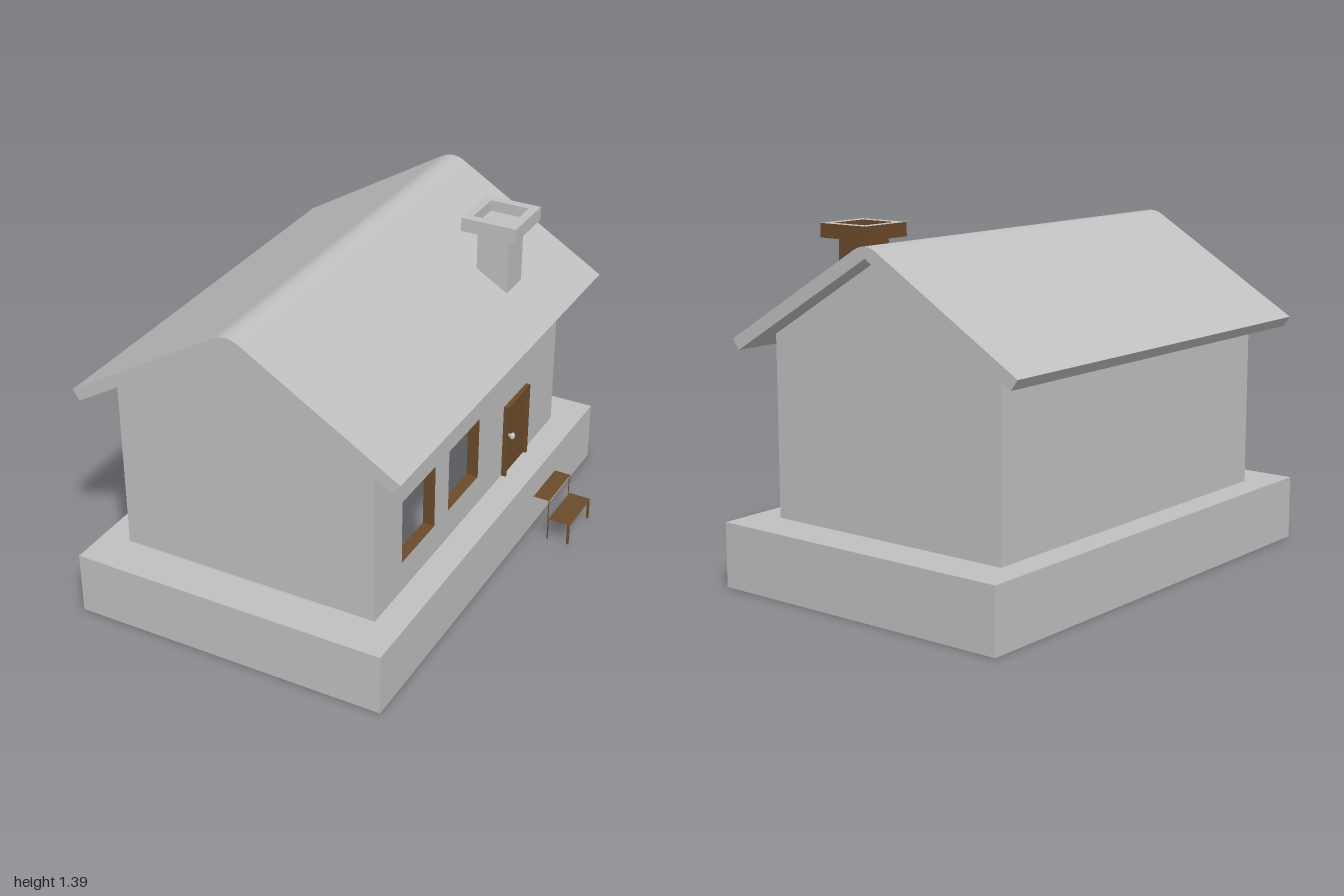
import * as THREE from 'three';

export function createModel() {
  const house = new THREE.Group();
  house.name = 'house';
  const mat = (name, color) => {
    const m = new THREE.MeshStandardMaterial({ color, side: THREE.DoubleSide });
    m.name = name;
    return m;
  };
  const plaster = mat('plasterGrey', 0xc0c0c0);
  const wood = mat('woodBrown', 0x6b4a2b);

  const add = (name, geo, material, x = 0, y = 0, z = 0, parent = house) => {
    const m = new THREE.Mesh(geo, material);
    m.name = name;
    m.position.set(x, y, z);
    parent.add(m);
    return m;
  };
  // Box given by its min and max on each axis
  const box = (name, material, x0, x1, y0, y1, z0, z1, parent) =>
    add(name, new THREE.BoxGeometry(x1 - x0, y1 - y0, z1 - z0), material,
      (x0 + x1) / 2, (y0 + y1) / 2, (z0 + z1) / 2, parent);
  const rect = (Kind, a0, a1, b0, b1) => new Kind([
    new THREE.Vector2(a0, b0), new THREE.Vector2(a1, b0),
    new THREE.Vector2(a1, b1), new THREE.Vector2(a0, b1)]);
  const extrude = (shape, depth) =>
    new THREE.ExtrudeGeometry(shape, { depth, bevelEnabled: false, curveSegments: 10 });
  // Flat rectangular ring lying in the ground plane, extruded upwards
  const ring = (outer, inner, depth) => {
    const s = rect(THREE.Shape, ...outer);
    s.holes.push(rect(THREE.Path, ...inner));
    return extrude(s, depth).rotateX(-Math.PI / 2);
  };

  // Hollow foundation: thin skirt open at the bottom, and a deck around the walls
  const bx0 = -0.755, bx1 = 0.578, t = 0.004;
  add('foundationSkirt', ring([bx0, bx1, -1, 1], [bx0 + t, bx1 - t, -1 + t, 1 - t], 0.256), plaster);
  add('foundationDeck', ring([bx0, bx1, -1, 1], [-0.588, 0.41, -0.77, 0.77], t), plaster, 0, 0.256, 0);

  // Gable walls
  const gable = new THREE.Shape([[-0.638, 0.26], [0.46, 0.26], [0.46, 0.985], [-0.087, 1.317], [-0.638, 0.985]]
    .map(p => new THREE.Vector2(...p)));
  add('frontWall', extrude(gable, 0.05), plaster, 0, 0, 0.772);
  add('backWall', extrude(gable, 0.05), plaster, 0, 0, -0.822);

  // Side walls; the right one has two open windows with wooden reveals
  box('leftWall', plaster, -0.638, -0.588, 0.26, 0.985, -0.772, 0.772);
  const side = rect(THREE.Shape, -0.772, 0.772, 0.26, 0.985);
  for (const [z0, z1] of [[0.33, 0.605], [-0.063, 0.21]]) {
    side.holes.push(rect(THREE.Path, -z1, -z0, 0.39, 0.665));
  }
  add('windowWall', extrude(side, 0.05).rotateY(Math.PI / 2), [plaster, wood], 0.41, 0, 0);

  // Roof slab with a rounded ridge
  const roof = new THREE.Shape();
  roof.moveTo(-0.752, 0.921);
  roof.lineTo(-0.087, 1.32);
  roof.lineTo(0.575, 0.921);
  roof.lineTo(0.607, 0.962);
  roof.lineTo(-0.035, 1.349);
  roof.quadraticCurveTo(-0.087, 1.379, -0.139, 1.349);
  roof.lineTo(-0.781, 0.962);
  roof.closePath();
  add('roof', extrude(roof, 1.82), plaster, 0, 0, -0.91);

  // Chimney: the left and back faces are brown, the others grey
  const chimney = new THREE.Group();
  chimney.name = 'chimney';
  house.add(chimney);
  const faces = [plaster, wood, plaster, plaster, plaster, wood];
  box('chimneyShaft', faces, 0.285, 0.42, 1.0, 1.34, -0.51, -0.37, chimney);
  box('chimneyCapLeft', faces, 0.235, 0.27, 1.33, 1.387, -0.56, -0.32, chimney);
  box('chimneyCapRight', faces, 0.433, 0.47, 1.33, 1.387, -0.56, -0.32, chimney);
  box('chimneyCapBack', faces, 0.27, 0.433, 1.33, 1.387, -0.56, -0.523, chimney);
  box('chimneyCapFront', faces, 0.27, 0.433, 1.33, 1.387, -0.357, -0.32, chimney);
  box('chimneyCapFloor', plaster, 0.27, 0.433, 1.33, 1.342, -0.523, -0.357, chimney);

  // Door with a raised frame and a round knob
  const door = new THREE.Group();
  door.name = 'door';
  house.add(door);
  box('doorPanel', wood, 0.455, 0.467, 0.26, 0.58, -0.51, -0.312, door);
  box('doorFrameTop', wood, 0.455, 0.48, 0.58, 0.592, -0.522, -0.3, door);
  for (const z of [-0.516, -0.306]) {
    box('doorFrameSide', wood, 0.455, 0.48, 0.26, 0.58, z - 0.006, z + 0.006, door);
  }
  add('knobStem', new THREE.CylinderGeometry(0.007, 0.007, 0.02, 12).rotateZ(Math.PI / 2), plaster, 0.474, 0.437, -0.344, door);
  add('doorKnob', new THREE.SphereGeometry(0.015, 16, 12).scale(0.7, 1, 1), plaster, 0.485, 0.437, -0.344, door);

  // Two paper-thin steps on narrow legs
  const steps = new THREE.Group();
  steps.name = 'steps';
  house.add(steps);
  const tread = (name, x0, x1, y) =>
    add(name, new THREE.PlaneGeometry(x1 - x0, 0.225).rotateX(-Math.PI / 2), wood, (x0 + x1) / 2, y, -0.415, steps);
  tread('upperTread', 0.61, 0.682, 0.2);
  tread('lowerTread', 0.682, 0.78, 0.108);
  for (const z of [-0.302, -0.52]) {
    add('upperLeg', new THREE.PlaneGeometry(0.01, 0.092).rotateY(Math.PI / 2), wood, 0.68, 0.154, z, steps);
    add('lowerInnerLeg', new THREE.PlaneGeometry(0.006, 0.096), wood, 0.682, 0.06, z, steps);
    add('lowerOuterLeg', new THREE.PlaneGeometry(0.012, 0.096), wood, 0.773, 0.06, z, steps);
  }
  return house;
}
